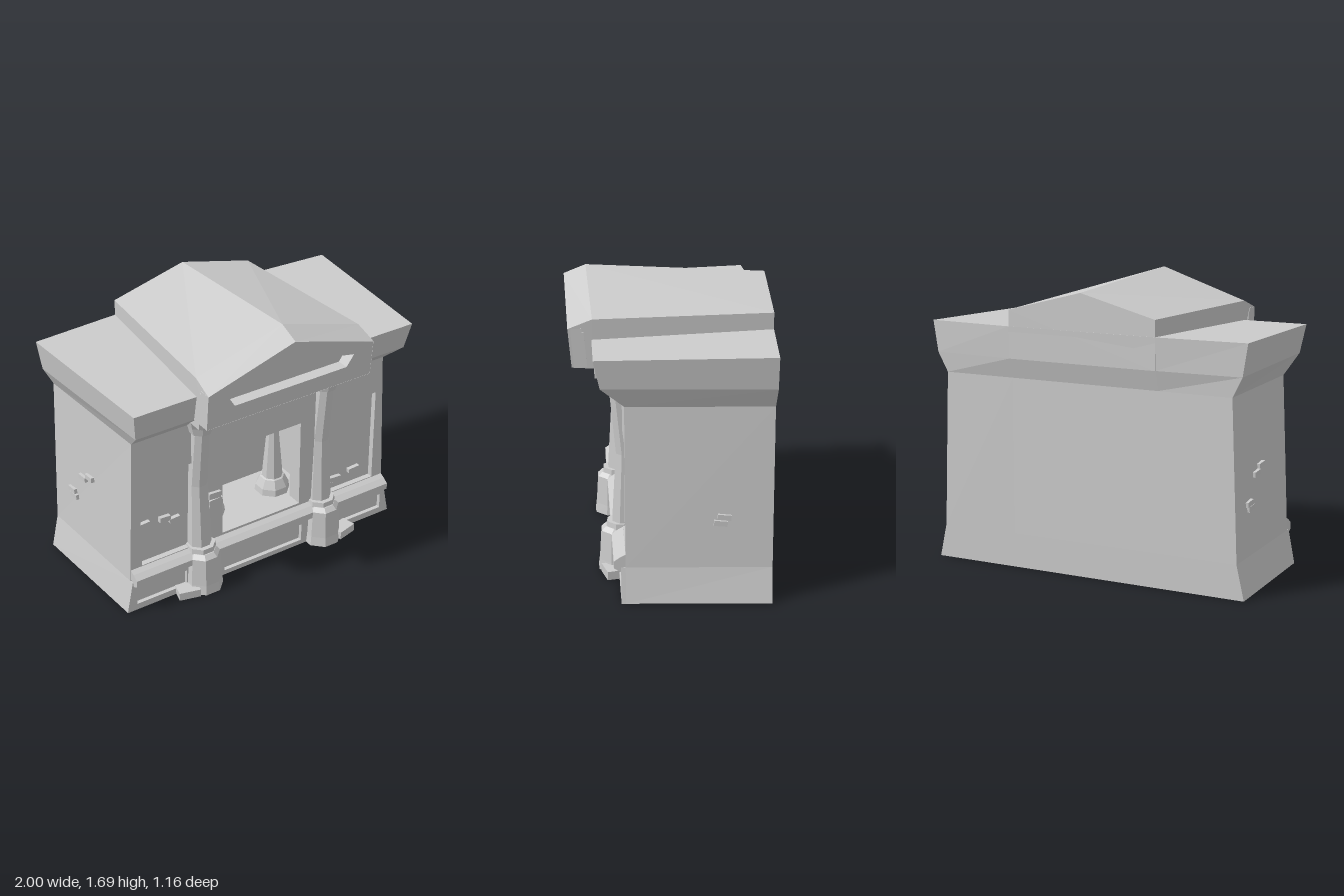
import * as THREE from 'three';

const mat = new THREE.MeshStandardMaterial({ color: 0xcccccc, flatShading: true, side: THREE.DoubleSide });

// Skin a list of equal-length point rings
function loft(rings, { closed = true, capStart = false, capEnd = false } = {}) {
  const n = rings[0].length, pos = [];
  const tri = (a, b, c) => pos.push(...a, ...b, ...c);
  for (let k = 0; k < rings.length - 1; k++) {
    const A = rings[k], B = rings[k + 1];
    for (let i = 0; i < (closed ? n : n - 1); i++) {
      const j = (i + 1) % n;
      tri(A[i], A[j], B[j]);
      tri(A[i], B[j], B[i]);
    }
  }
  const S = rings[0], E = rings[rings.length - 1];
  for (let i = 1; i < n - 1; i++) {
    if (capStart) tri(S[0], S[i + 1], S[i]);
    if (capEnd) tri(E[0], E[i], E[i + 1]);
  }
  const g = new THREE.BufferGeometry();
  g.setAttribute('position', new THREE.Float32BufferAttribute(pos, 3));
  g.computeVertexNormals();
  return g;
}

const pts = list => list.map(([x, y]) => new THREE.Vector2(x, y));
const mirror = list => list.map(([x, y]) => [-x, y]);
const rect = (x0, y0, x1, y1) => [[x0, y0], [x1, y0], [x1, y1], [x0, y1]];

// Flat slab with holes, from z0 to z1
function slab(outline, holes, z0, z1) {
  const s = new THREE.Shape(pts(outline));
  holes.forEach(h => s.holes.push(new THREE.Path(pts(h))));
  return new THREE.ExtrudeGeometry(s, { depth: z1 - z0, bevelEnabled: false }).translate(0, 0, z0);
}

// Horizontal octagon with a flat side to the front
function octagon(x, y, z, r) {
  const R = r / Math.cos(Math.PI / 8);
  return Array.from({ length: 8 }, (_, i) => {
    const a = (i + 0.5) * Math.PI / 4;
    return [x + R * Math.cos(a), y, z - R * Math.sin(a)];
  });
}

export function createModel() {
  const group = new THREE.Group();
  const add = (name, geo) => {
    const m = new THREE.Mesh(geo, mat);
    m.name = name;
    group.add(m);
    return m;
  };
  const box = (name, w, h, d, x, y, z) => {
    const m = add(name, new THREE.BoxGeometry(w, h, d));
    m.position.set(x, y, z);
    return m;
  };

  // Plan outline running front right, round the back, to front left
  const plan = (fx, fy, fz, bx, by, bz, mz) => [
    [fx, fy, fz], [bx, by, bz], [0.465, by, mz], [-0.465, by, mz], [-bx, by, bz], [-fx, fy, fz]];
  const eaves = plan(0.865, 1.12, 0.27, 0.91, 1.12, -0.54, -0.54);

  // Side and back walls with flared foot
  add('sideAndBackWalls', loft([
    plan(0.945, 0, 0.27, 0.99, 0, -0.535, -0.535),
    plan(0.905, 0.2, 0.27, 0.945, 0.2, -0.537, -0.537),
    eaves], { closed: false }));

  // Flared cornice and flat wing roofs
  add('cornice', loft([
    eaves,
    plan(0.91, 1.235, 0.4, 0.97, 1.235, -0.545, -0.57),
    plan(0.935, 1.4, 0.435, 1, 1.42, -0.545, -0.578)], { capEnd: true }));

  // Front wall: outer layer with doorway and wing recesses, inner layer with doorway
  const wall = [[-0.945, 0], [0.945, 0], [0.905, 0.2], [0.865, 1.12], [-0.865, 1.12], [-0.905, 0.2]];
  const wing = [[0.47, 0.28], [0.825, 0.28], [0.825, 0.89], [0.47, 0.855]];
  add('frontWall', slab(wall, [rect(-0.275, 0.29, 0.275, 0.86), wing, mirror(wing)], 0.235, 0.27));
  add('innerFrontWall', slab(rect(-0.86, 0.02, 0.86, 1.1), [rect(-0.275, 0.29, 0.275, 0.838)], 0.17, 0.235));

  // Panelled plinth
  const foot = rect(0.54, 0.04, 0.88, 0.14);
  add('plinth', slab(wall.slice(0, 3).concat([[-0.905, 0.2]]),
    [rect(-0.28, 0.03, 0.28, 0.145), foot, mirror(foot)], 0.27, 0.295));

  // Ledge along the top of the plinth
  const ledge = [[0.26, 0.175], [0.305, 0.175], [0.335, 0.195], [0.335, 0.235], [0.3, 0.26], [0.26, 0.28]];
  add('ledge', loft([-0.9, 0.9].map(x => ledge.map(([z, y]) => [x, y, z])), { capStart: true, capEnd: true }));

  // Room behind the doorway
  box('roomFloor', 0.84, 0.02, 0.38, 0, 0.28, 0.03);
  box('roomCeiling', 0.84, 0.02, 0.33, 0, 0.91, 0.01);
  box('roomBack', 0.84, 0.64, 0.02, 0, 0.595, -0.155);

  for (const s of [-1, 1]) {
    box('roomSide', 0.02, 0.64, 0.32, s * 0.42, 0.595, 0.01);

    // Outer column: [height, z, half width]
    const x = s * 0.43;
    const stack = (name, cx, rows) => add(name,
      loft(rows.map(([y, z, r]) => octagon(cx, y, z, r)), { capStart: true, capEnd: true }));
    stack('columnPedestal', x, [[0, 0.295, 0.112], [0.06, 0.295, 0.105], [0.235, 0.295, 0.095], [0.26, 0.29, 0.075]]);
    stack('columnRing', x, [[0.255, 0.275, 0.084], [0.29, 0.275, 0.08]]);
    stack('columnShaft', x, [[0.28, 0.26, 0.068], [0.7, 0.25, 0.054], [1.08, 0.29, 0.05]]);
    stack('columnCapital', x, [[1.07, 0.29, 0.062], [1.12, 0.29, 0.075], [1.175, 0.3, 0.092]]);
    box('columnCap', 0.18, 0.07, 0.19, x, 1.205, 0.325);

    // Inner column
    stack('innerColumn', s * 0.235, [[0.29, 0.04, 0.1], [0.33, 0.04, 0.095], [0.385, 0.04, 0.07],
      [0.39, 0.04, 0.06], [0.78, 0.04, 0.028], [0.785, 0.04, 0.042], [0.9, 0.04, 0.042]]);

    // Rubble beside the pedestal
    const rubble = box('rubble', 0.13, 0.05, 0.09, s * 0.56, 0.025, 0.335);
    rubble.rotation.y = s * 0.25;
  }

  // Gabled pediment block, back to front, with chamfered front edge
  const house = (w, y0, y1, y2, z0, z1, z2) => [
    [-w, y0, z0], [w, y0, z0], [w, y1, z1], [0, y2, z2], [-w, y1, z1]];
  add('pedimentRoof', loft([
    house(0.465, 1.235, 1.515, 1.635, -0.575, -0.578, -0.575),
    house(0.542, 1.235, 1.515, 1.69, 0.43, 0.43, 0.455),
    house(0.55, 1.245, 1.465, 1.64, 0.545, 0.565, 0.58)], { capStart: true }));

  // Leaning pediment face with a triangular recess
  const gable = k => [[-0.549, 1.246], [0.549, 1.246], [0.549, 1.464 - k], [0, 1.639 - k], [-0.549, 1.464 - k]];
  const niche = [[-0.375, 1.348], [0.375, 1.348], [0.42, 1.42], [0, 1.51], [-0.42, 1.42]];
  const lean = new THREE.Matrix4().set(1, 0, 0, 0, 0, 1, 0, 0, 0, 0.0875, 1, -0.109, 0, 0, 0, 1);
  add('pedimentFace', slab(gable(0), [niche], 0.47, 0.545).applyMatrix4(lean));
  add('pedimentNicheBack', slab(gable(0.02), [], 0.46, 0.472).applyMatrix4(lean));

  // Loose bricks on the front: [x, y, z, width, height]
  const bricks = [[-0.79, 0.54, 0.24, 0.07, 0.03], [-0.655, 0.53, 0.24, 0.07, 0.033], [-0.59, 0.505, 0.24, 0.07, 0.025],
    [-0.335, 0.59, 0.27, 0.08, 0.04], [-0.33, 0.54, 0.27, 0.09, 0.05], [0.025, 1.07, 0.27, 0.085, 0.035],
    [0.695, 0.375, 0.24, 0.08, 0.027], [0.55, 0.355, 0.24, 0.09, 0.03], [0.53, 0.325, 0.24, 0.08, 0.03]];
  bricks.forEach(([x, y, z, w, h], i) => {
    box('frontBrick', w, h, 0.04, x, y, z).rotation.z = i % 2 ? -0.06 : 0.06;
  });

  // Loose bricks on the sides: [side, y, z]
  [[1, 0.495, -0.27], [1, 0.46, -0.25], [-1, 0.5, -0.34], [-1, 0.68, -0.15], [-1, 0.645, -0.22], [-1, 0.47, -0.32]]
    .forEach(([s, y, z]) => {
      box('sideBrick', 0.04, 0.03, 0.075, s * (0.91 - 0.03 * (y - 0.2) - 0.055 * z), y, z).rotation.x = -0.1;
    });

  return group;
}
